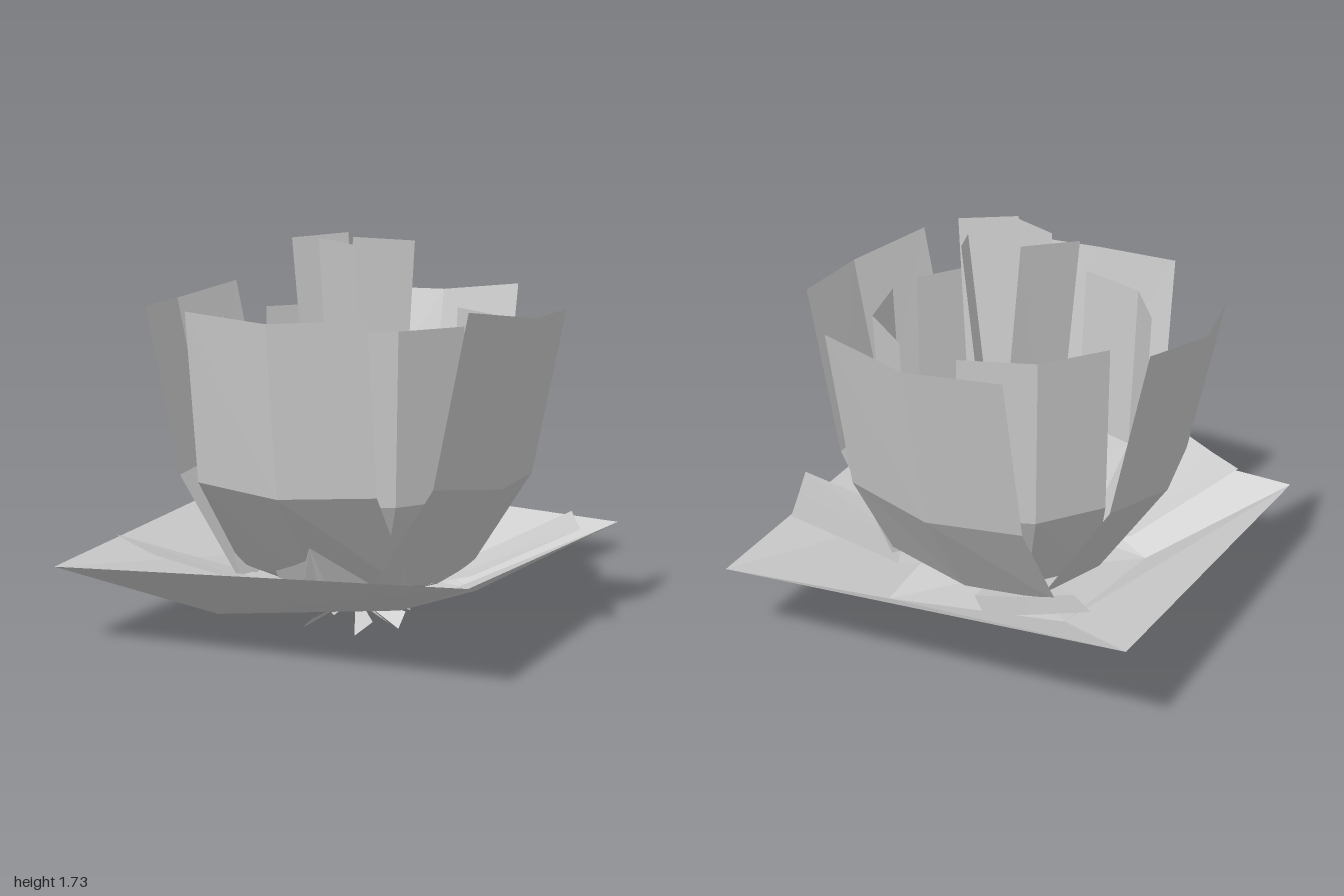
import * as THREE from 'three';

const material = new THREE.MeshStandardMaterial({ color: 0xcccccc, flatShading: true, side: THREE.DoubleSide });

// Sheet through rows of points; every row has the same count
function sheet(name, rows) {
  const pos = [];
  for (let i = 0; i < rows.length - 1; i++) {
    for (let j = 0; j < rows[i].length - 1; j++) {
      const a = rows[i][j], b = rows[i][j + 1], c = rows[i + 1][j + 1], d = rows[i + 1][j];
      pos.push(...a, ...b, ...c, ...a, ...c, ...d);
    }
  }
  const geo = new THREE.BufferGeometry();
  geo.setAttribute('position', new THREE.Float32BufferAttribute(pos, 3));
  geo.computeVertexNormals();
  const mesh = new THREE.Mesh(geo, material);
  mesh.name = name;
  return mesh;
}

// Petal folded along its middle; row = [mid radius, y, half width, fold depth, lift of near edge, lift of far edge]
function petal(name, degrees, rows, side = 0) {
  const a = THREE.MathUtils.degToRad(degrees), c = Math.cos(a), s = Math.sin(a);
  const at = (r, y, t) => [c * r - s * t, y, s * r + c * t];
  return sheet(name, rows.map(([r, y, w, fold, near, far]) => [
    at(r - fold, y + near, side - w), at(r, y, side), at(r - fold, y + far, side + w)]));
}

export function createModel() {
  const group = new THREE.Group();
  group.name = 'flower';

  // Square dish with a warped rim: opposite corners rise and fall
  const cx = -0.042, cz = -0.018;
  const ring = (h, low, high) => [[1, 1, high], [1, -1, low], [-1, -1, high], [-1, 1, low], [1, 1, high]]
    .map(([x, z, y]) => [cx + x * h, y, cz + z * h]);
  const centre = Array.from({ length: 5 }, () => [cx, 0.12, cz]);
  group.add(sheet('dish', [centre, ring(0.435, 0.08, 0.19), ring(0.943, 0.35, 0.45)]));

  // Low leaves lying over the dish
  for (const [angle, reach] of [[125.6, 1.06], [237.5, 1.04], [336, 0.97]]) {
    group.add(petal('lowLeaf', angle, [
      [0.03, 0.13, 0.03, 0, 0, 0],
      [0.5, 0.24, 0.215, 0, 0, 0.02],
      [reach, 0.463, 0.215, 0, 0, 0.008],
    ]));
  }

  // Tall outer petals
  for (const [angle, side, r, near, far] of [
    [90, 0.035, 0.8, 0.025, 0.025], [180, 0, 0.9, 0.005, 0.05],
    [272.4, 0, 0.9, 0.005, 0.05], [8.8, 0, 0.89, 0, 0.055]]) {
    group.add(petal('outerPetal', angle, [
      [0.03, 0.1, 0.03, 0, 0, 0],
      [r - 0.47, 0.23, 0.415, 0.07, 0, 0.05],
      [r - (side ? 0.09 : 0.155), 0.68, 0.415, 0.085, near, far],
      [r, 1.415, 0.415, 0.08, near, far],
    ], side));
  }

  // Upright inner petals
  for (const angle of [233.5, -32.5, 48.8, 129]) {
    group.add(petal('innerPetal', angle, [
      [0.02, 0.11, 0.03, 0, 0, 0],
      [0.38, 0.24, 0.32, 0.095, 0, 0],
      [0.575, 0.63, 0.32, 0.1, 0, 0],
      [0.605, 1.37, 0.32, 0.1, 0, 0],
    ]));
  }

  // Core blades: [x, y, z] of both top corners, leaning in towards the base
  for (const [a, b] of [
    [[-0.28, 1.71, 0.07], [-0.11, 1.725, -0.145]],
    [[-0.14, 1.715, 0.09], [0.1, 1.7, 0.24]],
    [[0.07, 1.73, 0.19], [0.31, 1.715, 0.085]],
    [[0.12, 1.72, -0.24], [0.195, 1.7, -0.04]]]) {
    const mx = (a[0] + b[0]) / 2, mz = (a[2] + b[2]) / 2, k = 0.15 / Math.hypot(mx, mz);
    const foot = p => [p[0] - mx * k, 0.26, p[2] - mz * k];
    group.add(sheet('coreBlade', [[[-0.02, 0.11, 0], [0.02, 0.11, 0]], [foot(a), foot(b)], [a, b]]));
  }

  // Star of small root blades under the dish, each tilted about its own axis
  for (let i = 0; i < 12; i++) {
    const reach = 0.22 + 0.05 * (i % 3), tip = [0.03, 0.08, 0.05, 0.11][i % 4];
    const tilt = 0.03 * (i % 2 ? 1 : -1);
    group.add(petal('rootBlade', i * 30 + 12 * (i % 2), [
      [0.01, 0.11, 0.006, 0, 0, 0],
      [reach, tip, 0.04, 0, -tilt, tilt],
    ]));
  }
  return group;
}
